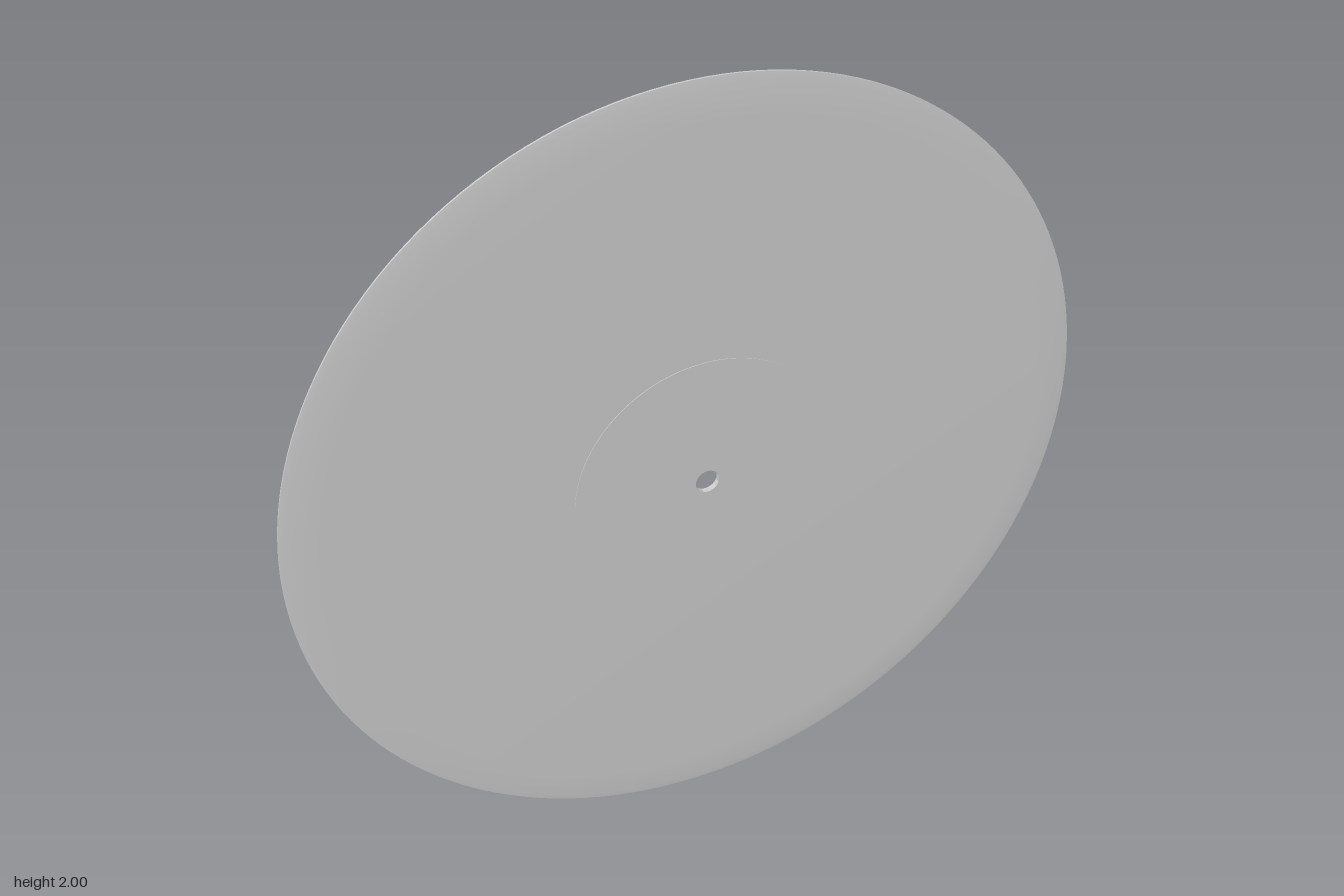
import * as THREE from 'three';
import { toCreasedNormals } from 'three/addons/utils/BufferGeometryUtils.js';

const HOLE = 0.03, LABEL = 0.332, SHOULDER = 0.91;
const RIM_Z = 0.0025, BODY_Z = 0.006, LABEL_Z = 0.0075;

// Revolves a [radius, depth] profile about the z axis
function revolve(name, profile, material) {
  const points = profile.map(([r, z]) => new THREE.Vector2(r, z));
  const geometry = new THREE.LatheGeometry(points, 160).rotateX(Math.PI / 2);
  const mesh = new THREE.Mesh(toCreasedNormals(geometry, Math.PI / 6), material);
  mesh.name = name;
  return mesh;
}

export function createModel() {
  const group = new THREE.Group();
  group.name = 'record';
  const material = new THREE.MeshStandardMaterial({ color: 0xcccccc, side: THREE.DoubleSide });

  // Thin disc with a tapered outer band and a spindle hole
  group.add(revolve('disc', [
    [HOLE, -BODY_Z], [SHOULDER, -BODY_Z], [0.985, -0.0045], [1, -RIM_Z],
    [1, RIM_Z], [0.985, 0.0045], [SHOULDER, BODY_Z], [HOLE, BODY_Z], [HOLE, -BODY_Z],
  ], material));

  // Slightly raised round label on each face
  const label = [[LABEL, BODY_Z], [LABEL, LABEL_Z], [HOLE, LABEL_Z], [HOLE, BODY_Z]];
  group.add(revolve('frontLabel', label, material));
  group.add(revolve('backLabel', label.map(([r, z]) => [r, -z]).reverse(), material));

  group.position.y = 1;
  const root = new THREE.Group();
  root.add(group);
  return root;
}
